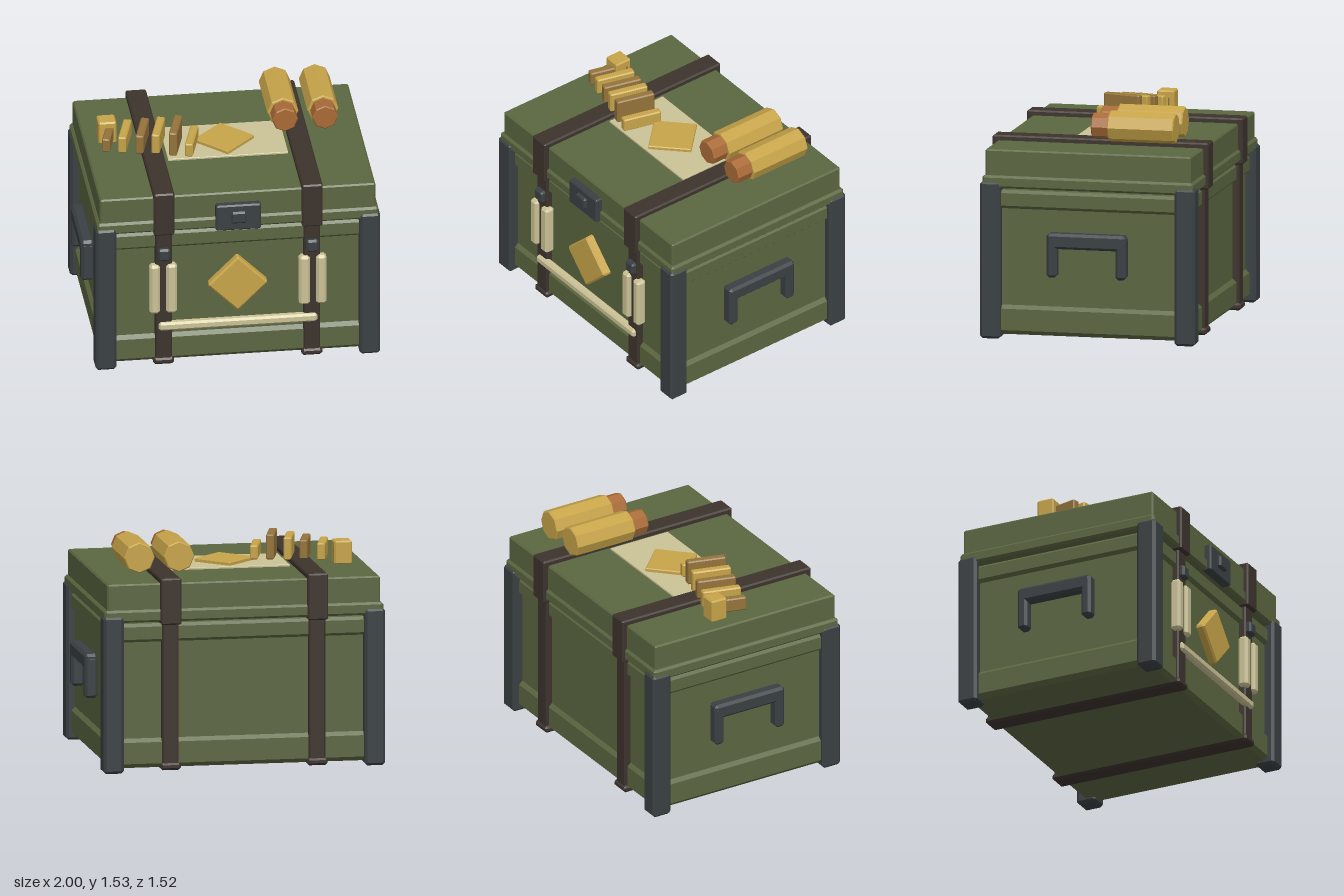
import * as THREE from 'three';
import { ConvexGeometry } from 'three/addons/geometries/ConvexGeometry.js';

const mat = (name, color) => {
  const m = new THREE.MeshStandardMaterial({ color });
  m.name = name;
  return m;
};

// Box with every edge chamfered by b
function chamferBox(w, h, d, b) {
  const pts = [];
  for (const x of [-1, 1]) for (const y of [-1, 1]) for (const z of [-1, 1]) {
    const X = w / 2, Y = h / 2, Z = d / 2;
    pts.push(
      new THREE.Vector3(x * X, y * (Y - b), z * (Z - b)),
      new THREE.Vector3(x * (X - b), y * Y, z * (Z - b)),
      new THREE.Vector3(x * (X - b), y * (Y - b), z * Z));
  }
  return new ConvexGeometry(pts);
}

export function createModel() {
  const green = mat('olive paint', 0x5b6640);
  const steel = mat('dark steel', 0x3a4043);
  const leather = mat('brown strap', 0x3d332d);
  const cream = mat('cream', 0xcbc296);
  const gold = mat('gold', 0xc7a449);
  const darkGold = mat('dark gold', 0x94733a);
  const copper = mat('copper', 0xa96a37);

  const model = new THREE.Group();
  model.name = 'supplyCrate';
  const ZC = -0.017; // middle of the crate in z

  const add = (name, geometry, material, x = 0, y = 0, z = 0) => {
    const mesh = new THREE.Mesh(geometry, material);
    mesh.name = name;
    mesh.position.set(x, y, z);
    model.add(mesh);
    return mesh;
  };
  // Chamfered box given by its [min, max] ranges
  const block = (name, material, [x0, x1], [y0, y1], [z0, z1], b = 0.01) =>
    add(name, chamferBox(x1 - x0, y1 - y0, z1 - z0, b), material,
      (x0 + x1) / 2, (y0 + y1) / 2, (z0 + z1) / 2);
  const around = (half, c = 0) => [c - half, c + half];

  // Body: recessed panels between two raised bands
  block('bodyPanels', green, around(0.9), [0.04, 1.01], around(0.67, ZC));
  block('lowerBand', green, around(0.925), [0.03, 0.235], around(0.695, ZC), 0.03);
  block('upperBand', green, around(0.925), [0.885, 1.01], around(0.695, ZC), 0.02);

  // Lid: wide rim with a slightly smaller top
  block('lidRim', green, around(0.95), [1.025, 1.11], around(0.725, ZC), 0.015);
  block('lidTop', green, around(0.93), [1.06, 1.285], around(0.708, ZC));

  for (const s of [-1, 1]) {
    // Corner posts
    for (const t of [-1, 1])
      block('cornerPost', steel, around(0.07, s * 0.89), [0.003, 1.07],
        around(0.07, ZC + t * 0.668), 0.018);

    // Side handle
    const hx = around(0.045, s * 0.955);
    block('handleBar', steel, hx, [0.635, 0.74], [-0.29, 0.255], 0.018);
    for (const z of [-0.255, 0.22])
      block('handleLeg', steel, hx, [0.44, 0.72], around(0.036, z), 0.018);

    // Straps around body and lid
    const sx = s * 0.5;
    block('bodyStrap', leather, around(0.056, sx), [0.02, 1.03], around(0.715, ZC));
    block('strapRunner', leather, around(0.07, sx), [0.015, 0.065], around(0.727, ZC), 0.015);
    block('lidStrap', leather, around(0.07, sx), [1.005, 1.32], around(0.743, ZC));
    block('buckle', steel, around(0.042, sx), [0.81, 0.9], [0.68, 0.732], 0.014);

    // Cream sticks beside the strap
    block('stick', cream, around(0.035, s * 0.562), [0.41, 0.775], [0.655, 0.726], 0.016);
    block('stick', cream, around(0.037, s * 0.448), [0.41, 0.775], [0.655, 0.726], 0.016);
  }

  // Front fittings
  block('crossStick', cream, around(0.535), [0.275, 0.335], [0.665, 0.722], 0.014);
  block('latchPlate', steel, around(0.152), [1.02, 1.21], [0.67, 0.738]);
  block('latchKnob', steel, around(0.052), [1.08, 1.167], [0.72, 0.762], 0.012);
  const side = 0.41 / Math.SQRT2;
  add('frontDiamond', chamferBox(side, side, 0.07, 0.012), gold, 0, 0.595, 0.675)
    .rotation.z = Math.PI / 4;

  // Sheet and diamond on the lid
  block('sheet', cream, around(0.405), [1.275, 1.298], [-0.25, 0.2], 0.003);
  add('topDiamond', chamferBox(side, 0.03, side, 0.005), gold, 0, 1.307, -0.022)
    .rotation.y = Math.PI / 4;

  // Row of slanted bars: [x, z, top]
  [[-0.772, -0.07, 1.4], [-0.666, -0.045, 1.42], [-0.552, -0.015, 1.44],
    [-0.448, 0.012, 1.455], [-0.335, 0.042, 1.475], [-0.23, 0.067, 1.4]]
    .forEach(([x, z, top], i) => {
      const h = top - 1.305;
      add('bar', chamferBox(0.055, h, 0.27, 0.008), i % 2 ? gold : darkGold, x, 1.305 + h / 2, z)
        .rotation.y = -0.27;
    });
  block('smallBlock', gold, around(0.061, -0.775), [1.28, 1.44], [-0.22, -0.1]);

  // Eight-sided shells lying along z
  const shell = (name, r, z0, z1, x, material) => {
    const b = 0.008;
    const profile = [[0, z0], [r - b, z0], [r, z0 + b], [r, z1 - b], [r - b, z1], [0, z1]]
      .map(([px, py]) => new THREE.Vector2(px, py));
    const g = new THREE.LatheGeometry(profile, 8).toNonIndexed();
    g.computeVertexNormals();
    g.rotateX(Math.PI / 2);
    add(name, g, material, x, 1.433, 0);
  };
  for (const x of [0.41, 0.68]) {
    shell('shellCase', 0.105, -0.565, -0.11, x, gold);
    shell('shellTip', 0.087, -0.12, 0.005, x, copper);
  }

  return model;
}
